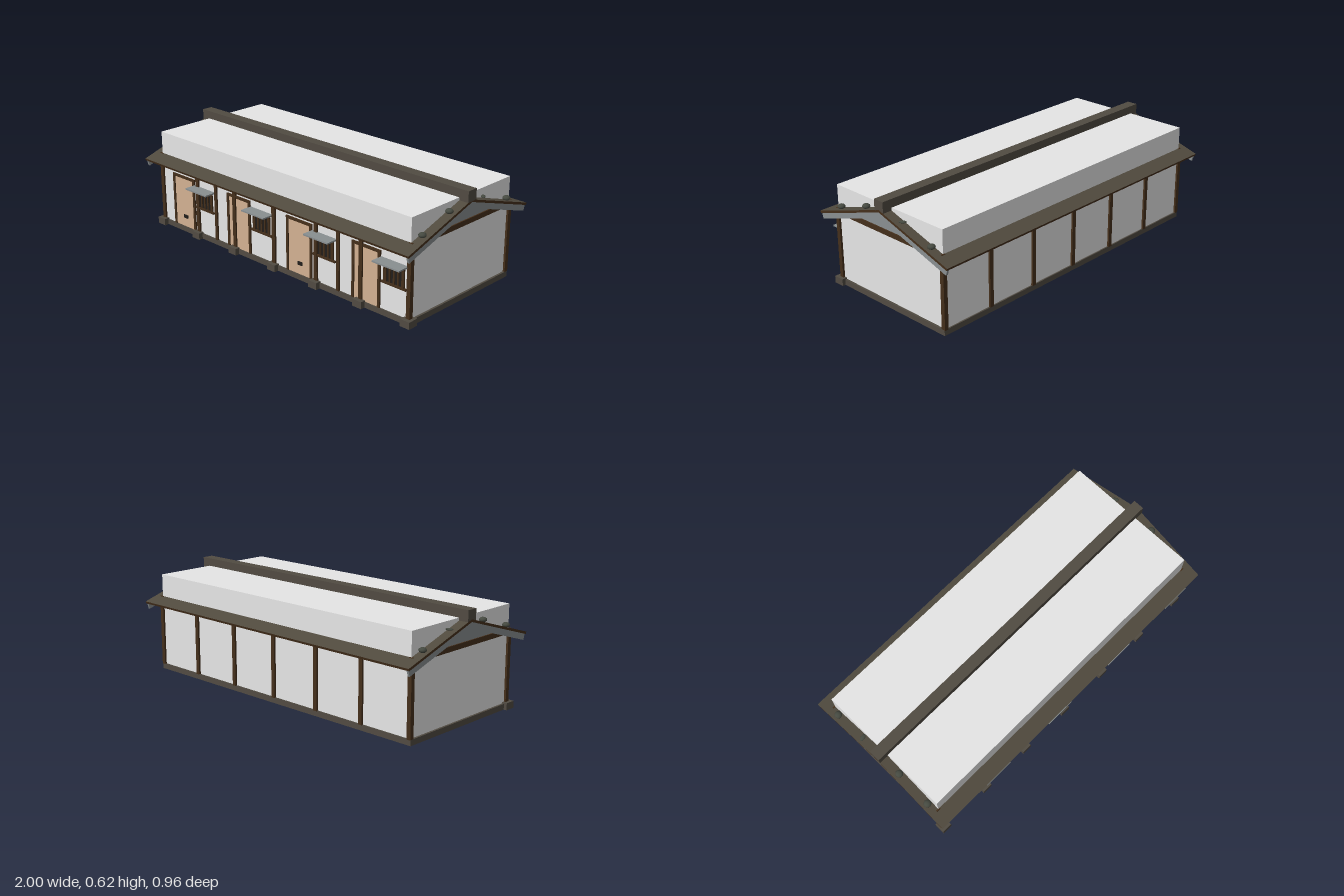
import * as THREE from 'three';

const mat = (name, color) => {
  const m = new THREE.MeshStandardMaterial({ color });
  m.name = name;
  return m;
};

export function createModel() {
  const house = new THREE.Group();
  house.name = 'rowHouse';

  const plaster = mat('plaster', 0xe6e6e6);
  const timber = mat('timber', 0x452f1b);
  const slate = mat('slateBrown', 0x504a3e);
  const stone = mat('foundationStone', 0x514b42);
  const metal = mat('greyBoard', 0x898f91);
  const doorWood = mat('doorWood', 0xd3b192);
  const dark = mat('darkOpening', 0x211e1b);
  const rock = mat('roofRock', 0x464a41);

  // box given by its min and max on each axis
  const box = (name, material, [x0, x1], [y0, y1], [z0, z1], parent = house) => {
    const mesh = new THREE.Mesh(new THREE.BoxGeometry(x1 - x0, y1 - y0, z1 - z0), material);
    mesh.position.set((x0 + x1) / 2, (y0 + y1) / 2, (z0 + z1) / 2);
    mesh.name = name;
    parent.add(mesh);
    return mesh;
  };
  const around = (c, w) => [c - w / 2, c + w / 2];

  // body and foundation
  box('walls', plaster, [-0.945, 0.945], [0, 0.57], [-0.394, 0.394]);
  box('foundation', stone, [-0.957, 0.957], [0.0005, 0.032], [-0.402, 0.402]);

  // posts on both long sides, footings at the front
  for (let i = -3; i <= 3; i++) {
    const x = i * 0.315;
    box('frontPost', timber, around(x, 0.024), [0.03, 0.434], [0.381, 0.405]);
    box('backPost', timber, around(x, 0.024), [0.03, 0.434], [-0.405, -0.381]);
    box('footing', stone, around(x, 0.06), [0, 0.039], [0.366, 0.428]);
  }
  for (const x of [-0.4725, 0.4725])
    box('partitionPost', timber, around(x, 0.02), [0.03, 0.42], [0.381, 0.403]);

  // eave beams, tie beams and gables
  const gableShape = new THREE.Shape([
    new THREE.Vector2(-0.4, 0.43), new THREE.Vector2(0.4, 0.43), new THREE.Vector2(0, 0.556),
  ]);
  for (const s of [-1, 1]) {
    box('eaveBeam', timber, [-0.957, 0.957], [0.4, 0.428], around(s * 0.393, 0.024));
    box('tieBeam', timber, around(s * 0.947, 0.024), [0.413, 0.441], [-0.4, 0.4]);
    const gable = new THREE.Mesh(
      new THREE.ExtrudeGeometry(gableShape, { depth: 0.012, bevelEnabled: false }), metal);
    gable.rotation.y = Math.PI / 2;
    gable.position.x = s * 0.946 - 0.006;
    gable.name = 'gable';
    house.add(gable);
  }

  // roof slopes with bargeboards and weight stones
  const rockShape = new THREE.IcosahedronGeometry(1, 1);
  const slopeAngle = Math.atan(0.152 / 0.48);
  for (const s of [-1, 1]) {
    const slope = new THREE.Group();
    slope.name = s > 0 ? 'frontRoof' : 'backRoof';
    slope.position.y = 0.565;
    slope.rotation.x = s * slopeAngle;
    house.add(slope);
    const run = (a, b) => (s > 0 ? [a, b] : [-b, -a]);
    box('roofPanel', [timber, timber, slate, slate, timber, timber],
      [-1, 1], [-0.013, 0], run(0, 0.503), slope);
    for (const e of [-1, 1]) {
      box('bargeboard', metal, around(e * 0.988, 0.012), [-0.046, -0.013], run(0, 0.501), slope);
      for (const d of [0.14, 0.352]) {
        const small = s < 0 && d < 0.2;
        const r = new THREE.Mesh(rockShape, rock);
        r.scale.set(0.021, small ? 0.006 : 0.014, small ? 0.012 : 0.021);
        r.position.set(e * 0.967, 0.012, s * d);
        r.rotation.set(-s * slopeAngle, d * 9 + e, 0);
        r.name = 'roofStone';
        slope.add(r);
      }
    }
  }
  box('ridgeBeam', stone, [-1, 1], [0.555, 0.616], [-0.032, 0.032]);

  // four dwellings: door, barred window and awning each
  for (let i = 0; i < 4; i++) {
    const c = (i - 1.5) * 0.4725;
    const dx = c - 0.045, wx = c + 0.138;

    const door = new THREE.Group();
    door.name = 'door';
    house.add(door);
    box('doorPanel', doorWood, around(dx, 0.17), [0.032, 0.332], [0.39, 0.397], door);
    for (const s of [-1, 1])
      box('doorJamb', timber, around(dx + s * 0.087, 0.016), [0.032, 0.345], [0.388, 0.402], door);
    box('doorLintel', timber, around(dx, 0.19), [0.33, 0.345], [0.388, 0.402], door);
    if (i % 2 === 0) box('doorPull', dark, around(dx + 0.006, 0.034), [0.086, 0.106], [0.395, 0.402], door);

    const win = new THREE.Group();
    win.name = 'window';
    house.add(win);
    box('windowOpening', dark, around(wx, 0.126), [0.188, 0.288], [0.39, 0.396], win);
    for (let b = -2; b <= 2; b++)
      box('windowBar', timber, around(wx + b * 0.027, 0.01), [0.19, 0.286], [0.392, 0.401], win);
    for (const s of [-1, 1])
      box('windowJamb', timber, around(wx + s * 0.062, 0.009), [0.188, 0.29], [0.39, 0.402], win);
    box('windowHead', timber, around(wx, 0.133), [0.282, 0.291], [0.39, 0.402], win);
    box('windowSill', timber, around(wx, 0.16), [0.18, 0.191], [0.39, 0.4045], win);
    box('awning', metal, around(wx, 0.175), [0.305, 0.313], [0.39, 0.465], win);
  }
  return house;
}
